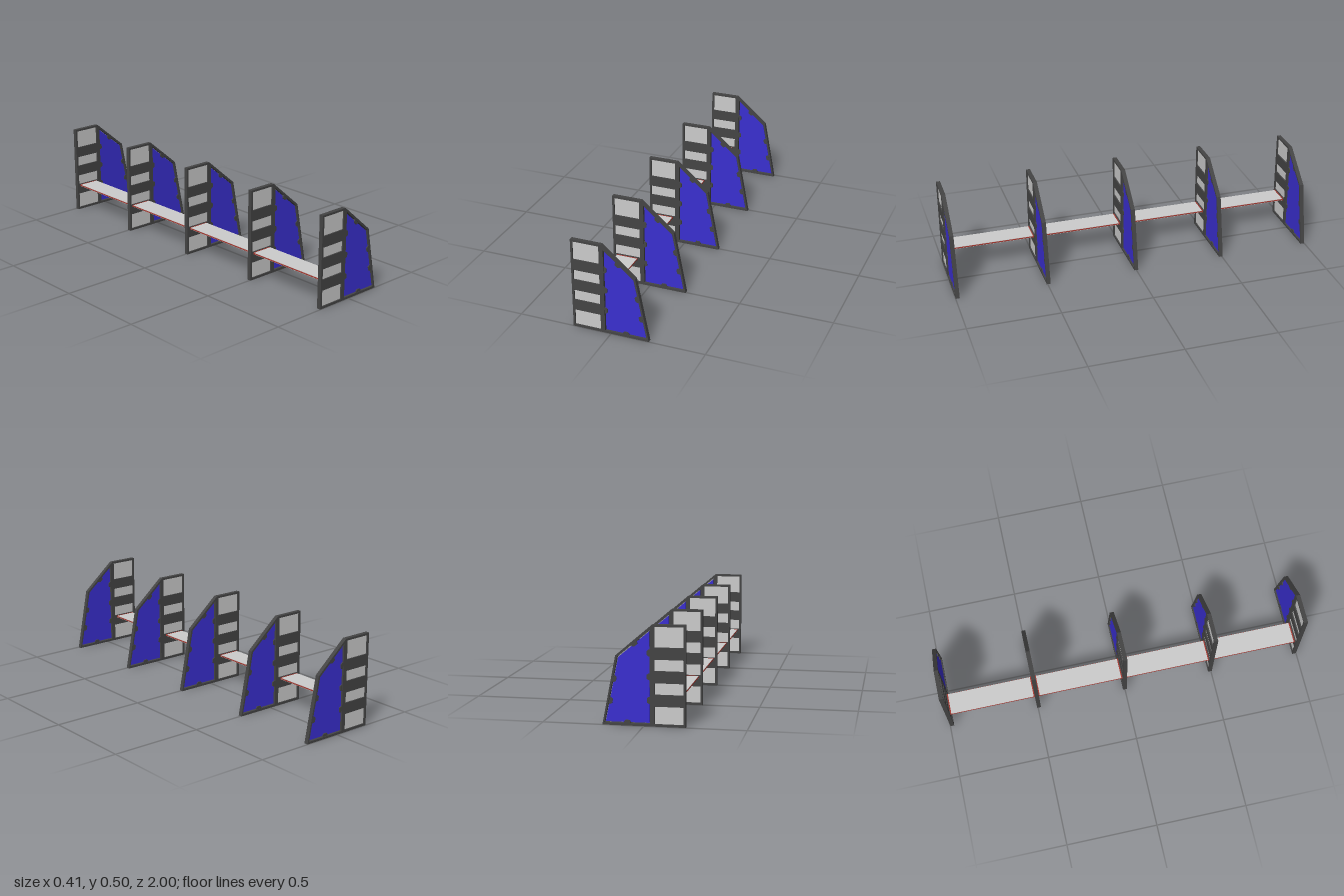
import * as THREE from 'three';

const DEPTH = 0.022;
const dark = new THREE.MeshStandardMaterial({ color: 0x444444 });
const blue = new THREE.MeshStandardMaterial({ color: 0x3a2fd0 });
const grey = new THREE.MeshStandardMaterial({ color: 0xcccccc });
const red = new THREE.MeshStandardMaterial({ color: 0xa83a32 });

const points = (list) => list.map(([x, y]) => new THREE.Vector2(x, y));
const rect = (x0, y0, x1, y1) => [[x0, y0], [x1, y0], [x1, y1], [x0, y1]];

// Flat plate in the xy plane, centred on z = 0
function plate(name, outline, holes, depth, material) {
  const shape = new THREE.Shape(points(outline));
  holes.forEach((h) => shape.holes.push(new THREE.Path(points(h))));
  const geometry = new THREE.ExtrudeGeometry(shape, { depth, bevelEnabled: false });
  geometry.translate(0, 0, -depth / 2);
  const mesh = new THREE.Mesh(geometry, material);
  mesh.name = name;
  return mesh;
}

function box(name, w, h, d, x, y, z, material) {
  const mesh = new THREE.Mesh(new THREE.BoxGeometry(w, h, d), material);
  mesh.name = name;
  mesh.position.set(x, y, z);
  return mesh;
}

const OUTLINE = [[-0.205, 0], [0.203, 0], [0.137, 0.341], [-0.043, 0.495], [-0.205, 0.495]];
const WINDOWS = [[0.012, 0.098], [0.156, 0.212], [0.271, 0.326], [0.385, 0.484]]
  .map(([a, b]) => rect(-0.194, a, -0.054, b));
const OPENING = [[-0.031, 0.012], [0.192, 0.012], [0.128, 0.334], [-0.031, 0.47]];
const INFILL = [[-0.028, 0.016], [0.187, 0.016], [0.124, 0.332], [-0.028, 0.461]];
const TAB = [[-0.017, -0.002], [0.017, -0.002], [0.016, 0.007], [0.01, 0.015], [-0.01, 0.015], [-0.016, 0.007]];

// Tabs: position on the opening's edge and the turn that points them inward
const slant = Math.atan2(0.322, -0.064);
const slope = Math.atan2(0.136, -0.159) + Math.PI;
const TABS = [
  [0.08, 0.012, 0],
  [0.167, 0.12, slant], [0.148, 0.228, slant],
  [0.047, 0.403, slope + Math.PI],
  [-0.031, 0.357, -Math.PI / 2], [-0.031, 0.242, -Math.PI / 2], [-0.031, 0.127, -Math.PI / 2],
];

// One upright divider: frame, infill panels and retaining tabs
function createDivider() {
  const divider = new THREE.Group();
  divider.name = 'divider';
  divider.add(plate('frame', OUTLINE, [...WINDOWS, OPENING], DEPTH, dark));
  WINDOWS.forEach((w) => divider.add(plate('windowPanel', w, [], 0.008, grey)));
  divider.add(plate('bluePanel', INFILL, [], 0.008, blue));
  for (const [x, y, turn] of TABS) {
    const tab = plate('retainingTab', TAB, [], 0.018, dark);
    tab.position.set(x, y, 0);
    tab.rotation.z = turn;
    divider.add(tab);
  }
  return divider;
}

// Thin shelf with a red core that shows along its edges
function createShelf(length) {
  const shelf = new THREE.Group();
  shelf.name = 'shelf';
  const x = -0.127, w = 0.118;
  shelf.add(box('shelfCore', w, 0.006, length, x, 0, 0, red));
  for (const s of [-1, 1]) {
    shelf.add(box('shelfSkin', w - 0.003, 0.002, length - 0.012, x, s * 0.004, 0, grey));
    shelf.add(box('endStrip', w, 0.011, 0.005, x, 0, s * (length / 2 - 0.0025), red));
  }
  return shelf;
}

export function createModel() {
  const model = new THREE.Group();
  model.name = 'shelvingUnit';
  const spacing = (2 - DEPTH) / 4;
  for (let i = 0; i < 5; i++) {
    const z = (i - 2) * spacing;
    const divider = createDivider();
    divider.position.z = z;
    model.add(divider);
    if (i === 4) continue;
    const shelf = createShelf(spacing - DEPTH);
    shelf.position.set(0, 0.148, z + spacing / 2);
    model.add(shelf);
  }
  return model;
}
